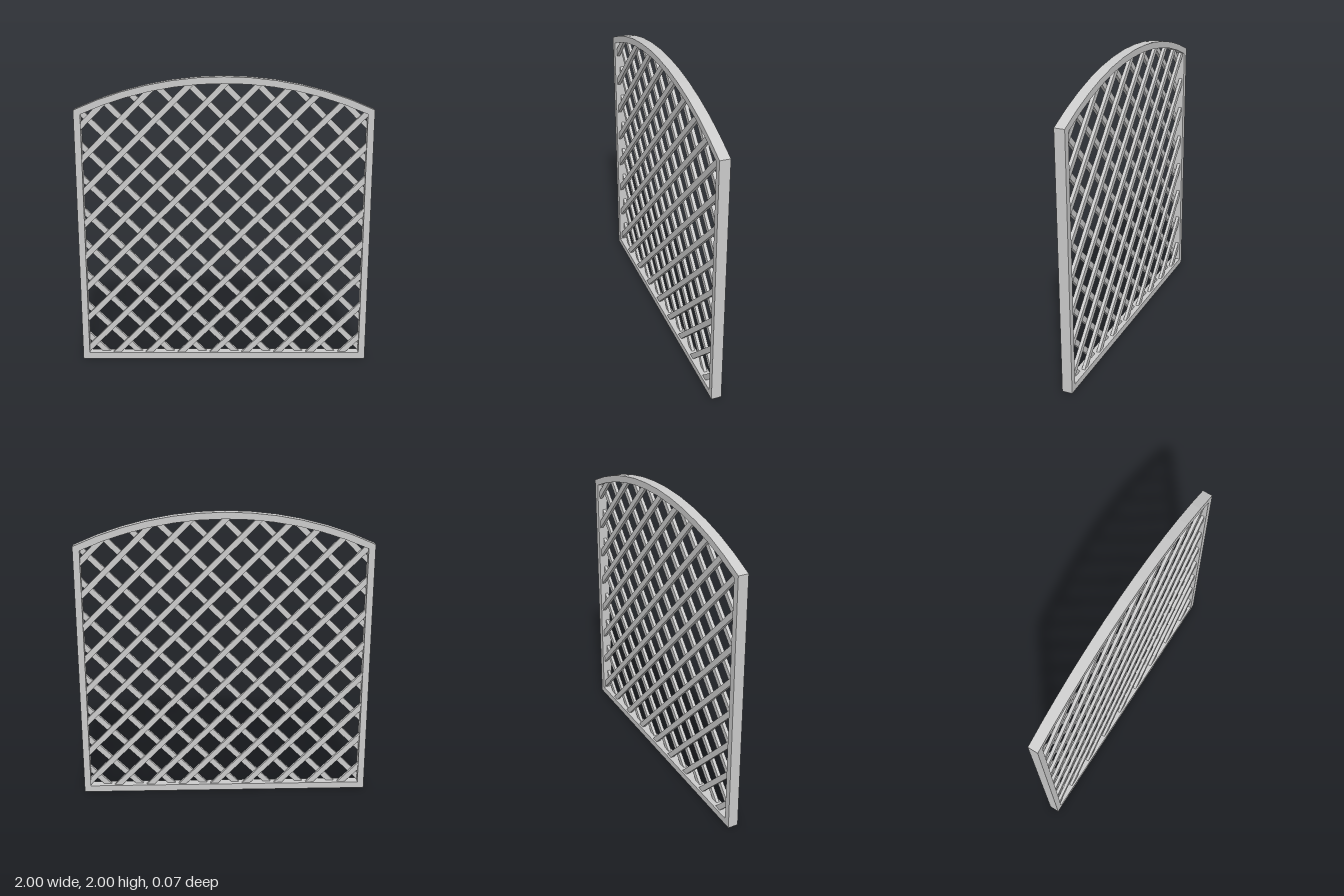
import * as THREE from 'three';

const FRAME = 0.045;            // face width of the frame
const DEPTH = 0.07;             // frame depth
const SPRING = 1.78;            // height where the arch starts
const R = (1 + (2 - SPRING) ** 2) / (2 * (2 - SPRING));
const CY = 2 - R;               // arch centre height
const ARCH_SEGMENTS = 12;
const SLAT_WIDTH = 0.038, SLAT_DEPTH = 0.022;
const PITCH = 0.228;            // vertical distance between parallel slats
const FIRST = 0.12;             // height of the lowest crossing on the centre line

const material = new THREE.MeshStandardMaterial({ color: 0xcccccc, flatShading: true });

// Flat outline extruded and centred on z = 0
function slab(name, points) {
  const shape = new THREE.Shape(points.map(([x, y]) => new THREE.Vector2(x, y)));
  const geometry = new THREE.ExtrudeGeometry(shape, { depth: DEPTH, bevelEnabled: false });
  geometry.translate(0, 0, -DEPTH / 2);
  const mesh = new THREE.Mesh(geometry, material);
  mesh.name = name;
  return mesh;
}

// Points along the arch between x = -halfWidth and x = halfWidth
function arc(radius, halfWidth) {
  const half = Math.asin(halfWidth / radius);
  return Array.from({ length: ARCH_SEGMENTS + 1 }, (_, i) => {
    const a = half * (2 * i / ARCH_SEGMENTS - 1);
    return [radius * Math.sin(a), CY + radius * Math.cos(a)];
  });
}

// Mitred posts, bottom rail and arched top rail
function buildFrame() {
  const frame = new THREE.Group();
  frame.name = 'frame';
  const inner = 1 - FRAME;
  const innerArc = arc(R - FRAME, inner);
  const innerSpring = innerArc[0][1];
  frame.add(slab('bottomRail', [[-1, 0], [1, 0], [inner, FRAME], [-inner, FRAME]]));
  for (const [name, s] of [['leftPost', 1], ['rightPost', -1]]) {
    frame.add(slab(name, [[s, 0], [s, SPRING], [s * inner, innerSpring], [s * inner, FRAME]]));
  }
  frame.add(slab('archedTopRail', [...arc(R, 1), ...innerArc.reverse()]));
  return frame;
}

// One layer of diagonal slats, ends buried in the middle of the frame
function buildSlats(name, slope, z) {
  const layer = new THREE.Group();
  layer.name = name;
  const edge = 1 - FRAME / 2, radius = R - FRAME / 2;
  for (let k = -5; k <= 12; k++) {
    const c = FIRST + k * PITCH;
    const e = c - CY;
    const disc = 2 * radius * radius - e * e;
    if (disc <= 0) continue;
    const root = Math.sqrt(disc);
    const x0 = Math.max(-edge, FRAME / 2 - c, (-e - root) / 2);
    const x1 = Math.min(edge, (-e + root) / 2);
    if (x1 - x0 < 0.03) continue;
    const mid = (x0 + x1) / 2;
    const slat = new THREE.Mesh(
      new THREE.BoxGeometry((x1 - x0) * Math.SQRT2, SLAT_WIDTH, SLAT_DEPTH), material);
    slat.name = 'slat';
    slat.position.set(slope * mid, mid + c, z);
    slat.rotation.z = slope * Math.PI / 4;
    layer.add(slat);
  }
  return layer;
}

export function createModel() {
  const model = new THREE.Group();
  model.name = 'archedTrellisPanel';
  model.add(
    buildFrame(),
    buildSlats('frontSlats', 1, SLAT_DEPTH / 2),
    buildSlats('backSlats', -1, -SLAT_DEPTH / 2)
  );
  return model;
}
